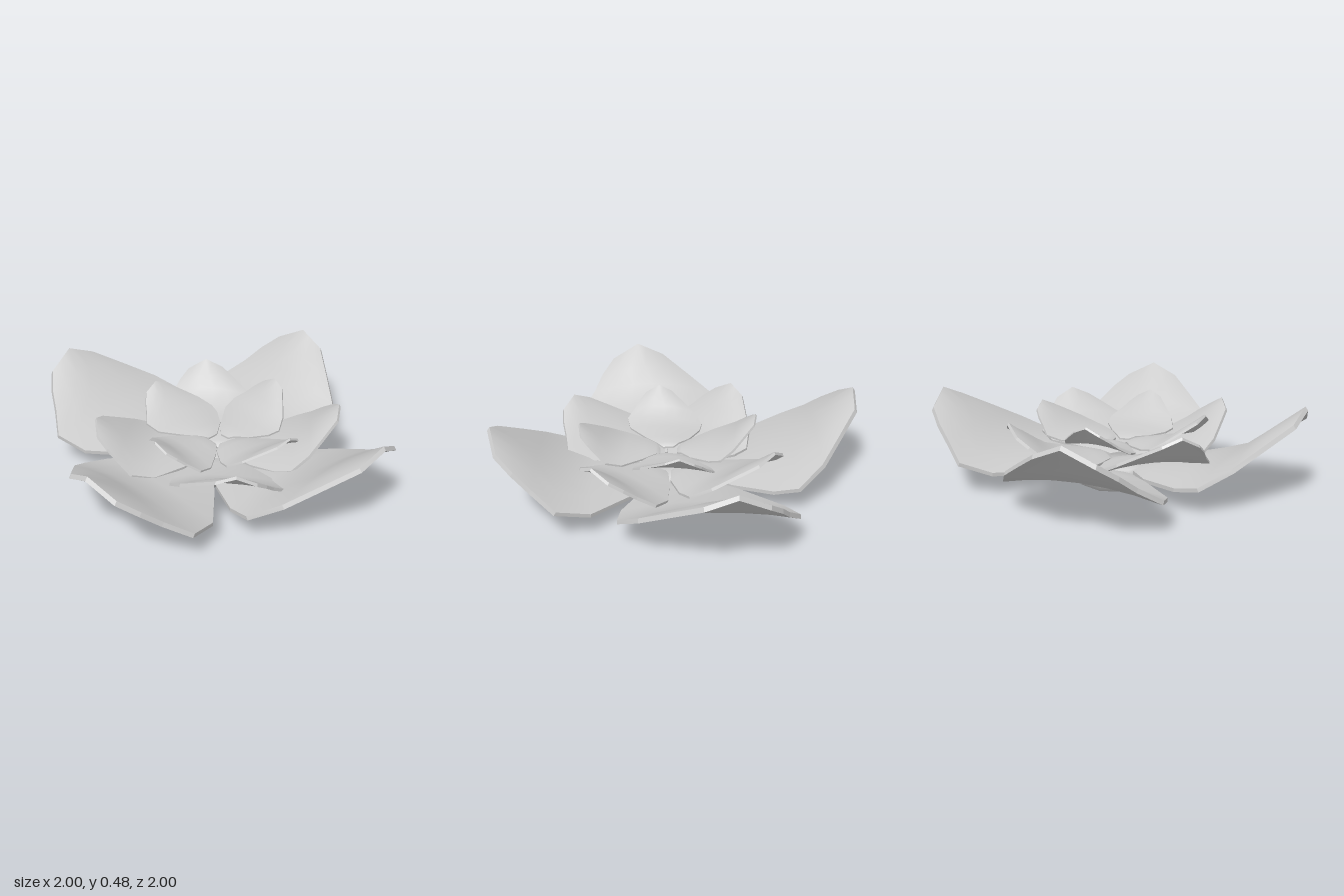
import * as THREE from 'three';
import { mergeVertices } from 'three/addons/utils/BufferGeometryUtils.js';

// Petal cross-sections from root to tip: left x, left z, right x, right z, droop of the sides
const ROWS = [
  [-0.05, 0.1, 0.07, 0.09, 0],
  [-0.11, 0.15, 0.15, 0.14, 0.01],
  [-0.22, 0.26, 0.29, 0.26, 0.025],
  [-0.33, 0.47, 0.5, 0.48, 0.04],
  [-0.35, 0.6, 0.55, 0.65, 0.055],
  [-0.25, 0.74, 0.47, 0.77, 0.06],
  [-0.11, 0.85, 0.42, 0.86, 0.055],
  [0.04, 0.965, 0.35, 0.945, 0.05],
];
const COLS = 6;

// Ridge of a petal: hooked at the root, nearly flat, then steep towards the tip
const CURVE = [[0.09, 0.075], [0.15, 0.12], [0.49, 0.165], [0.63, 0.21], [0.98, 0.475]];
function heightAt(z) {
  let i = 0;
  while (i < CURVE.length - 2 && z > CURVE[i + 1][0]) i++;
  const [z0, y0] = CURVE[i], [z1, y1] = CURVE[i + 1];
  return y0 + (y1 - y0) * (z - z0) / (z1 - z0);
}

function petalGeometry() {
  const pos = [], idx = [];
  const n = COLS + 1, last = ROWS.length - 1;
  const point = (i, j, under) => {
    const [xl, zl, xr, zr, droop] = ROWS[i];
    const t = j / COLS, side = Math.abs(2 * t - 1);
    const x = xl + (xr - xl) * t;
    const z = zl + (zr - zl) * t + (i === last ? 0.03 * (1 - side) : 0);
    const y = heightAt(z) - droop * (i === last ? side : side * side);
    const out = THREE.MathUtils.smoothstep(z, 0.4, 0.75) * 0.014;
    return under ? [x, y - 0.02, z + out] : [x, y, z];
  };
  // Upper and lower faces
  for (const under of [false, true]) {
    const base = pos.length / 3;
    for (let i = 0; i <= last; i++)
      for (let j = 0; j < n; j++) pos.push(...point(i, j, under));
    for (let i = 0; i < last; i++)
      for (let j = 0; j < COLS; j++) {
        const a = base + i * n + j, b = a + n;
        if (under) idx.push(a, a + 1, b, b, a + 1, b + 1);
        else idx.push(a, b, a + 1, b, b + 1, a + 1);
      }
  }
  // Rim: walk round the outline and join the two faces
  const rim = [];
  for (let j = 0; j < COLS; j++) rim.push([0, j]);
  for (let i = 0; i < last; i++) rim.push([i, COLS]);
  for (let j = COLS; j > 0; j--) rim.push([last, j]);
  for (let i = last; i > 0; i--) rim.push([i, 0]);
  rim.forEach((p, k) => {
    const q = rim[(k + 1) % rim.length], s = pos.length / 3;
    pos.push(...point(...p, false), ...point(...q, false), ...point(...p, true), ...point(...q, true));
    idx.push(s, s + 1, s + 2, s + 1, s + 3, s + 2);
  });
  const g = new THREE.BufferGeometry();
  g.setAttribute('position', new THREE.Float32BufferAttribute(pos, 3));
  g.setIndex(idx);
  g.computeVertexNormals();
  return g;
}

// Eight-sided stem, shaded smoothly over its ends
function stemGeometry() {
  const g = new THREE.CylinderGeometry(0.2, 0.2, 0.12, 8);
  g.deleteAttribute('normal');
  g.deleteAttribute('uv');
  const smooth = mergeVertices(g);
  smooth.computeVertexNormals();
  return smooth;
}

export function createModel() {
  const model = new THREE.Group();
  model.name = 'flower';
  const material = new THREE.MeshStandardMaterial({ color: 0xcccccc, side: THREE.DoubleSide });
  const petal = petalGeometry();

  // Three whorls of four petals, each smaller, higher and turned
  const whorls = [
    { name: 'outerPetal', size: 1, y: 0, z: 0, turn: 0 },
    { name: 'middlePetal', size: 0.65, y: 0.08, z: 0.065, turn: 40.7 },
    { name: 'innerPetal', size: 0.475, y: 0.18, z: 0.06, turn: -8 },
  ];
  for (const w of whorls) {
    const ring = new THREE.Group();
    ring.name = w.name + 's';
    ring.position.set(0, w.y, w.z);
    ring.scale.setScalar(w.size);
    for (let k = 0; k < 4; k++) {
      const mesh = new THREE.Mesh(petal, material);
      mesh.name = w.name;
      mesh.rotation.y = THREE.MathUtils.degToRad(w.turn + 90 * k);
      ring.add(mesh);
    }
    model.add(ring);
  }

  // Short stem
  const stem = new THREE.Mesh(stemGeometry(), material);
  stem.name = 'stem';
  stem.position.y = 0.06;
  model.add(stem);
  return model;
}
